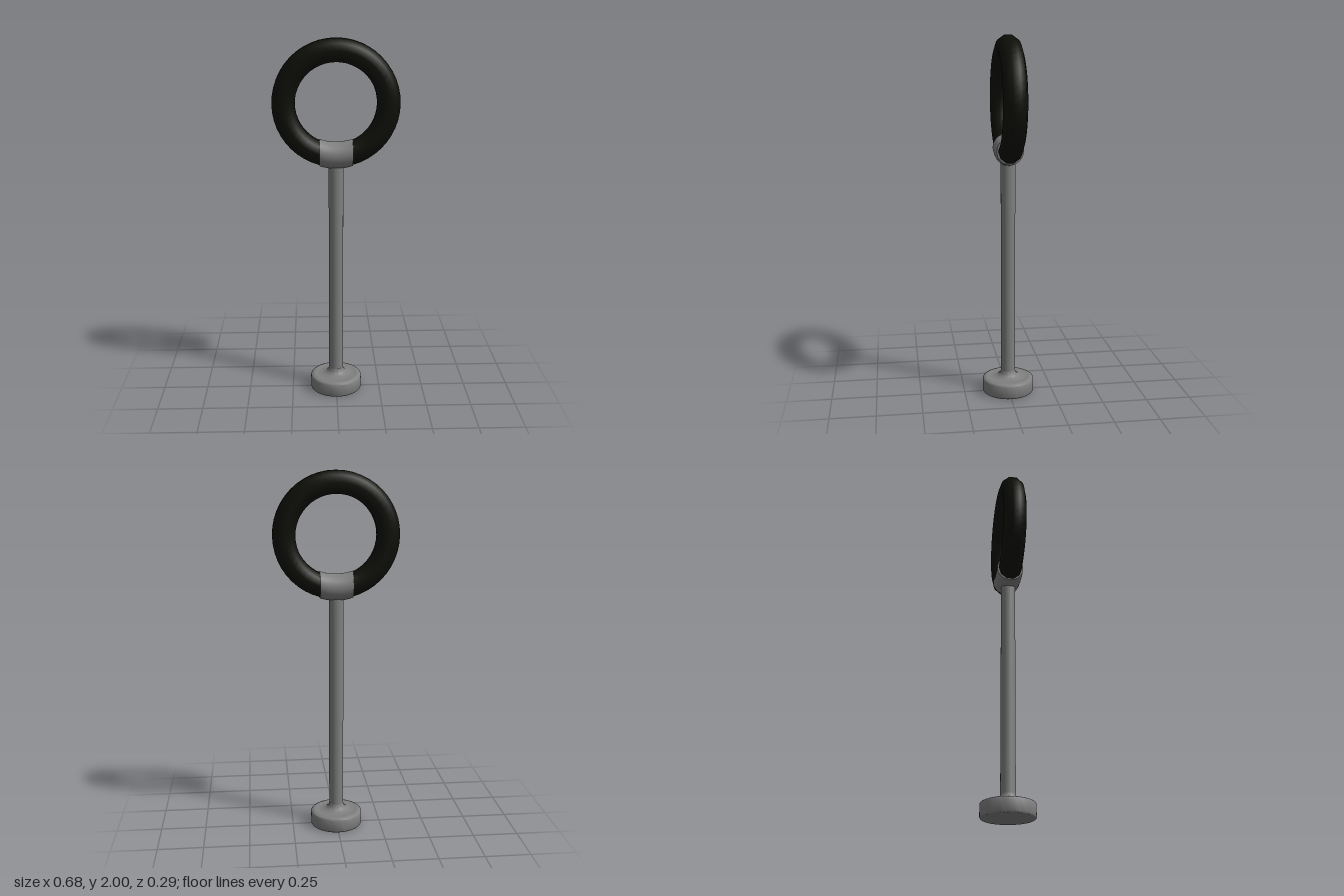
import * as THREE from 'three';
import { toCreasedNormals } from 'three/addons/utils/BufferGeometryUtils.js';

const RING_Y = 1.66, RING_R = 0.28;

export function createModel() {
  const model = new THREE.Group();
  const metal = new THREE.MeshStandardMaterial({ color: 0x808080 });
  const rubber = new THREE.MeshStandardMaterial({ color: 0x0e0e08 });

  const add = (name, geometry, material) => {
    const mesh = new THREE.Mesh(geometry, material);
    mesh.name = name;
    model.add(mesh);
  };

  // Base disc with softened rims, a faint lip and a fillet rising into the stem
  const profile = [
    [0, 0], [0.134, 0], [0.139, 0], [0.143, 0.003], [0.145, 0.008],
    [0.145, 0.072], [0.143, 0.077], [0.138, 0.081], [0.128, 0.085], [0.118, 0.086],
    [0.112, 0.084], [0.085, 0.086], [0.066, 0.09], [0.052, 0.098], [0.043, 0.11], [0.04, 0.125],
  ].map(([r, y]) => new THREE.Vector2(r, y));
  add('base', toCreasedNormals(new THREE.LatheGeometry(profile, 48), 0.8), metal);

  // Stem, ending inside the sleeve
  const stem = new THREE.CylinderGeometry(0.04, 0.04, 1.215, 32, 1, true);
  add('stem', stem.translate(0, 0.125 + 1.215 / 2, 0), metal);

  // Upright ring with a ten-sided section, flat faces on its inner and outer rims
  const section = [];
  for (let i = 0; i <= 10; i++) {
    const a = ((i - 0.5) / 10) * Math.PI * 2;
    section.push(new THREE.Vector2(RING_R + 0.0645 * Math.cos(a), 0.0645 * Math.sin(a)));
  }
  const ring = new THREE.LatheGeometry(section, 48).rotateX(Math.PI / 2).translate(0, RING_Y, 0);
  add('ring', toCreasedNormals(ring, 1), rubber);

  // Sleeve: a short tube bent along the ring, with upright ends
  const sleeve = new THREE.CylinderGeometry(0.073, 0.073, 0.18, 32, 10).rotateZ(Math.PI / 2);
  const p = sleeve.attributes.position;
  for (let i = 0; i < p.count; i++) {
    const x = p.getX(i);
    p.setY(i, p.getY(i) + RING_Y - Math.sqrt(RING_R ** 2 - x ** 2));
  }
  add('sleeve', toCreasedNormals(sleeve, 0.8), metal);

  return model;
}
